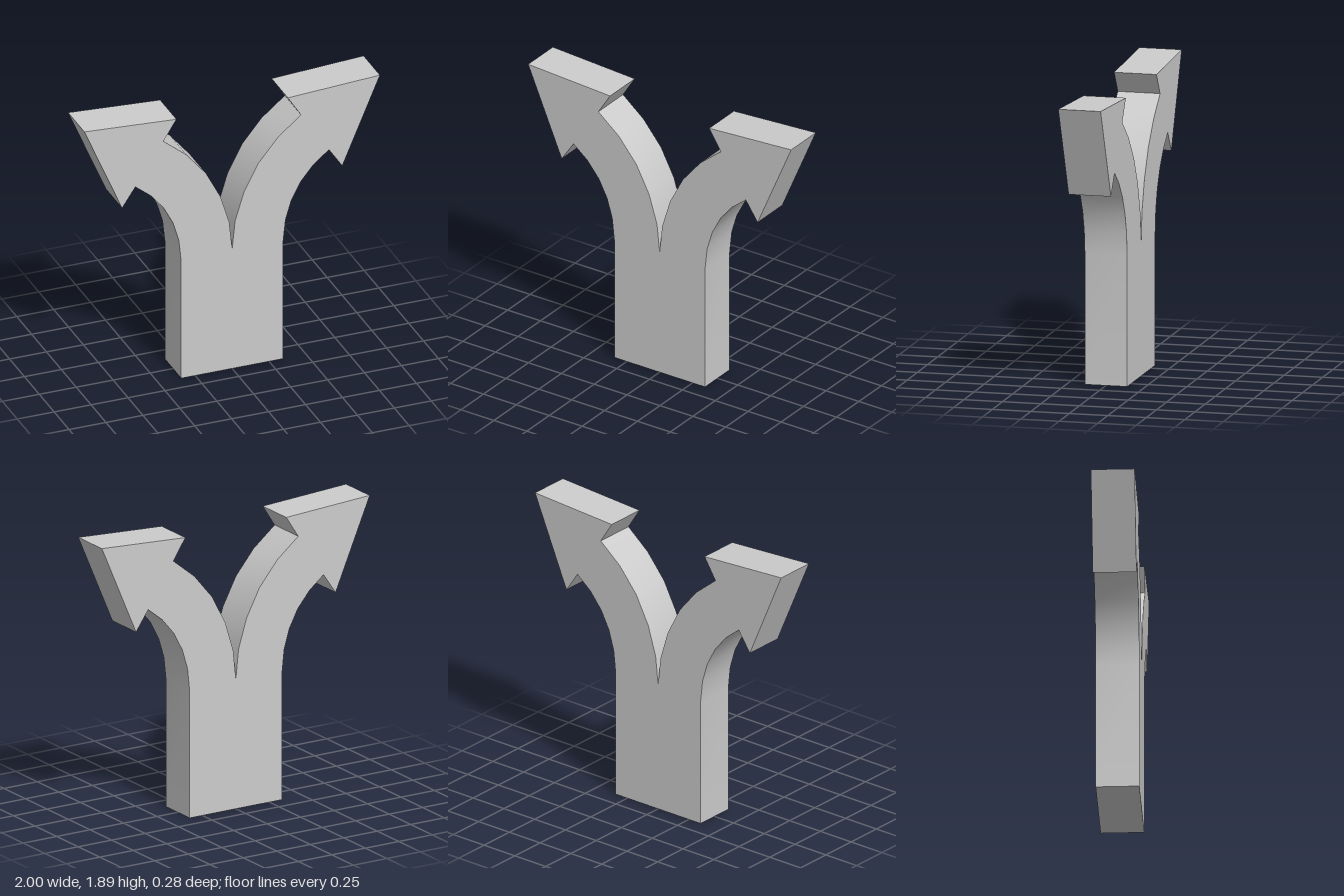
import * as THREE from 'three';
import { toCreasedNormals } from 'three/addons/utils/BufferGeometryUtils.js';

const DEPTH = 0.275;

// Outline of the left half, from the foot up round the arrowhead to the fork
const stem = [[0.345, 0], [0.345, 0.84]];
const outerBend = [[0.361, 0.99], [0.4, 1.12], [0.463, 1.24], [0.55, 1.345], [0.655, 1.43]];
const arrowhead = [[0.745, 1.297], [1, 1.893], [0.377, 1.857], [0.466, 1.717]];
const innerBend = [[0.31, 1.59], [0.177, 1.43], [0.08, 1.245], [0.02, 1.05]];
const fork = [[0, 0.855]];

export function createModel() {
  const group = new THREE.Group();
  group.name = 'forkedArrow';

  // Mirror the half outline to close the whole silhouette
  const half = [...stem, ...outerBend, ...arrowhead, ...innerBend];
  const mirrored = half.map(([x, y]) => [-x, y]).reverse();
  const points = [...half, ...fork, ...mirrored].map(([x, y]) => new THREE.Vector2(x, y));

  // Thick plate: smooth along the bends, sharp at corners
  const plate = new THREE.ExtrudeGeometry(new THREE.Shape(points), { depth: DEPTH, bevelEnabled: false });
  plate.translate(0, 0, -DEPTH / 2);

  const mesh = new THREE.Mesh(
    toCreasedNormals(plate, THREE.MathUtils.degToRad(30)),
    new THREE.MeshStandardMaterial({ color: 0xcccccc })
  );
  mesh.name = 'forkedArrowPlate';
  group.add(mesh);
  return group;
}
